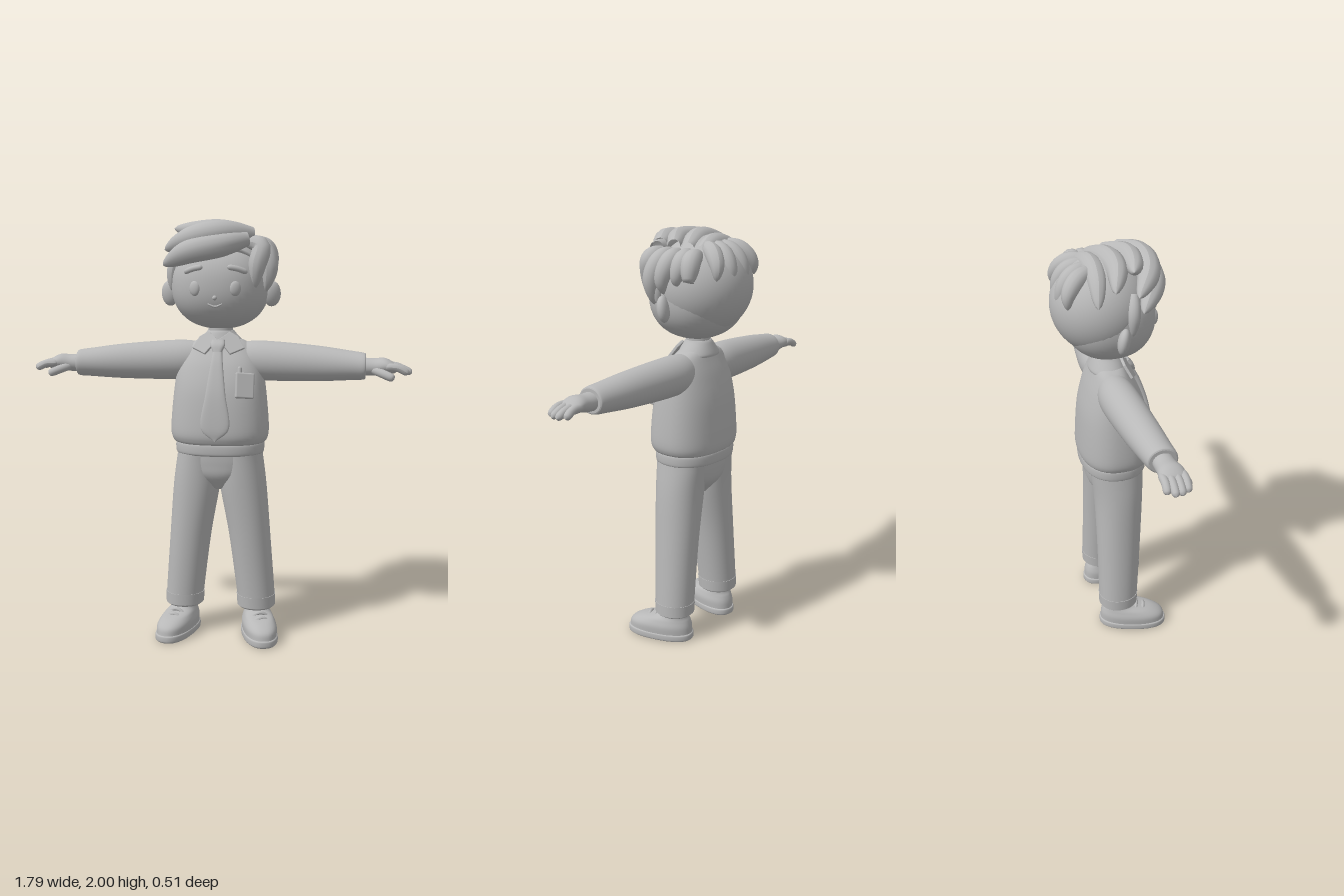
import * as THREE from 'three';
import { RoundedBoxGeometry } from 'three/addons/geometries/RoundedBoxGeometry.js';

const clay = new THREE.MeshStandardMaterial({ color: 0xb8b8b8, side: THREE.DoubleSide });
clay.name = 'plain grey';
const V = (p) => new THREE.Vector3(...p);

function add(parent, name, geometry, pos = [0, 0, 0], rot = [0, 0, 0]) {
  const mesh = new THREE.Mesh(geometry, clay);
  mesh.name = name;
  mesh.position.set(...pos);
  mesh.rotation.set(...rot);
  parent.add(mesh);
  return mesh;
}

// Stacks rounded sections [y, x, z, rx, rz], ordered upwards, and closes both ends
function loft(sections, { power = 2, steps = 6, sides = 40 } = {}) {
  const n = (sections.length - 1) * steps;
  const mid = new THREE.CatmullRomCurve3(sections.map(s => V([s[1], s[0], s[2]])), false, 'catmullrom');
  const size = new THREE.CatmullRomCurve3(sections.map(s => V([s[3], s[4], 0])), false, 'catmullrom');
  const rings = [];
  for (let i = 0; i <= n; i++) rings.push([mid.getPoint(i / n), size.getPoint(i / n), 1]);
  rings.unshift([rings[0][0], rings[0][1], 0], rings[0]);
  rings.push(rings[rings.length - 1], [rings[rings.length - 1][0], rings[rings.length - 1][1], 0]);
  const pos = [], index = [];
  const bend = (v) => Math.sign(v) * Math.abs(v) ** (2 / power);
  rings.forEach(([c, r, k], j) => {
    for (let i = 0; i < sides; i++) {
      const a = (i / sides) * Math.PI * 2;
      pos.push(c.x + bend(Math.sin(a)) * r.x * k, c.y, c.z + bend(Math.cos(a)) * r.y * k);
      if (!j) continue;
      const i2 = (i + 1) % sides, lo = (j - 1) * sides, hi = j * sides;
      index.push(lo + i, lo + i2, hi + i, lo + i2, hi + i2, hi + i);
    }
  });
  const g = new THREE.BufferGeometry();
  g.setAttribute('position', new THREE.Float32BufferAttribute(pos, 3));
  g.setIndex(index);
  g.computeVertexNormals();
  return g;
}

// Tube along points whose radius follows a rule of t
function strand(points, radius, rule = (t) => Math.sin(Math.PI * (0.12 + 0.88 * t)) ** 0.6) {
  const n = 20, m = 14;
  const curve = new THREE.CatmullRomCurve3(points.map(V));
  const g = new THREE.TubeGeometry(curve, n, radius, m);
  const p = g.attributes.position, v = new THREE.Vector3();
  for (let i = 0; i <= n; i++) {
    const c = curve.getPointAt(i / n), k = Math.max(rule(i / n), 0.001);
    for (let j = 0; j <= m; j++) {
      const id = i * (m + 1) + j;
      v.fromBufferAttribute(p, id).sub(c).multiplyScalar(k).add(c);
      p.setXYZ(id, v.x, v.y, v.z);
    }
  }
  g.computeVertexNormals();
  return g;
}
const capsule = (t) => Math.min(1, Math.sqrt(Math.max(0, 1 - (Math.abs(t - 0.5) * 2) ** 6)));

// Rounded head shape and the depth of the face at a point
const HEAD = { x: 0.23, y: 0.205, z: 0.21, p: 2.25, cy: 1.7 };
function headGeometry() {
  const g = new THREE.SphereGeometry(1, 48, 32), a = g.attributes.position, { p } = HEAD;
  for (let i = 0; i < a.count; i++) {
    const x = a.getX(i), y = a.getY(i), z = a.getZ(i);
    const k = (Math.abs(x) ** p + Math.abs(y) ** p + Math.abs(z) ** p) ** (-1 / p);
    a.setXYZ(i, x * k * HEAD.x, y * k * HEAD.y, z * k * HEAD.z);
  }
  g.computeVertexNormals();
  return g;
}
const face = (x, y, out = 0) => [x, y, out + HEAD.z *
  (1 - Math.abs(x / HEAD.x) ** HEAD.p - Math.abs((y - HEAD.cy) / HEAD.y) ** HEAD.p) ** (1 / HEAD.p)];

function buildHead(root) {
  const head = new THREE.Group();
  head.name = 'head';
  root.add(head);
  add(head, 'skull', headGeometry(), [0, HEAD.cy, 0]);
  add(head, 'neck', new THREE.CylinderGeometry(0.058, 0.058, 0.12, 32), [0, 1.48, 0]);
  for (const s of [-1, 1]) {
    add(head, 'ear', new THREE.SphereGeometry(1, 24, 16), [s * 0.242, 1.66, 0.01], [0.15, s * 0.35, 0])
      .scale.set(0.043, 0.06, 0.028);
    add(head, 'eye', new THREE.SphereGeometry(1, 24, 16), face(s * 0.093, 1.687, -0.004), [0, s * 0.35, 0])
      .scale.set(0.026, 0.034, 0.014);
    add(head, 'eyebrow', strand([face(s * 0.055, 1.783, 0.003), face(s * 0.1, 1.775, 0.003),
      face(s * 0.145, 1.758, 0.003)], 0.013, capsule));
  }
  add(head, 'nose', new THREE.SphereGeometry(0.011, 16, 12), face(0, 1.645));
  add(head, 'mouth', strand([face(-0.035, 1.618), face(0, 1.605), face(0.035, 1.618)], 0.005, capsule));

  // Hair cap, cut along a slope from forehead to nape
  const profile = [new THREE.Vector2(0, -0.06)];
  for (let i = 0; i <= 28; i++) {
    const a = 1.84 * (1 - i / 28);
    profile.push(new THREE.Vector2(Math.sin(a) * 0.225, Math.cos(a) * 0.225));
  }
  add(head, 'hairCap', new THREE.LatheGeometry(profile, 48), [0, 1.745, -0.032], [-0.873, 0, 0]).scale.x = 1.05;

  // Locks swept over the crown and forehead
  const swept = [
    [0.06, [0.14, 1.91, 0.13], [0.03, 1.885, 0.175], [-0.12, 1.853, 0.17], [-0.26, 1.79, 0.09]],
    [0.058, [0.16, 1.93, 0.09], [0.02, 1.935, 0.155], [-0.12, 1.91, 0.15], [-0.255, 1.86, 0.07]],
    [0.052, [0.15, 1.93, 0.02], [0.02, 1.945, 0.09], [-0.1, 1.948, 0.09], [-0.21, 1.958, 0.06]],
    [0.054, [0.14, 1.92, -0.05], [0, 1.945, 0.0], [-0.12, 1.935, 0.01], [-0.25, 1.89, -0.03]],
    [0.05, [0.12, 1.91, -0.11], [-0.02, 1.93, -0.08], [-0.13, 1.9, -0.08], [-0.235, 1.82, -0.1]],
  ];
  for (const [r, ...pts] of swept) add(head, 'sweptLock', strand(pts, r));
  // Locks falling down the model's left side: depth at the top, depth and height at the tip
  for (const [z, tipZ, tipY] of [[0.1, 0.135, 1.68], [0.05, 0.08, 1.67], [0, 0.02, 1.72], [-0.06, -0.06, 1.77], [-0.1, -0.13, 1.81]]) {
    const out = tipZ > 0.1 ? 0.185 : 0.235;
    add(head, 'sideLock', strand([[0.13, 1.9, z], [0.2, 1.875, z * 1.15], [out, 1.79, tipZ], [out - 0.015, tipY, tipZ]], 0.044));
  }
  for (const s of [-1, 1])
    add(head, 'sideburn', strand([[s * 0.18, 1.85, 0.07], [s * 0.215, 1.77, 0.06], [s * 0.222, 1.67, 0.055]], 0.03));
  // Short locks falling behind the crown
  for (const [x, tip] of [[-0.12, 1.79], [-0.04, 1.75], [0.04, 1.76], [0.12, 1.79]])
    add(head, 'backLock', strand([[x * 0.5, 1.93, -0.08], [x * 0.85, 1.905, -0.16], [x * 1.1, 1.85, -0.205],
      [x * 1.2, tip, -0.235 + Math.abs(x) * 0.2]], 0.04));
}

function buildTorso(root) {
  add(root, 'sweater', loft([[0.955, 0, 0.02, 0.2, 0.148], [0.972, 0, 0.022, 0.224, 0.164],
    [1.03, 0, 0.025, 0.234, 0.171], [1.2, 0, 0.022, 0.22, 0.157], [1.32, 0, 0.015, 0.2, 0.125],
    [1.4, 0, 0.004, 0.165, 0.088], [1.44, 0, 0, 0.115, 0.068], [1.455, 0, 0, 0.06, 0.05]], { power: 2.35 }));
  add(root, 'waistband', loft([[0.905, 0, 0.02, 0.2, 0.145], [0.915, 0, 0.02, 0.211, 0.156],
    [0.955, 0, 0.02, 0.212, 0.157], [0.968, 0, 0.02, 0.202, 0.147]], { power: 2.3 }));
  add(root, 'collar', loft([[1.415, 0, -0.002, 0.115, 0.085], [1.43, 0, -0.002, 0.113, 0.085],
    [1.475, 0, -0.002, 0.072, 0.068], [1.488, 0, -0.002, 0.062, 0.06]]));
  for (const s of [-1, 1]) {
    const flap = new THREE.Shape([[0.005, -0.045], [0.05, 0], [0.09, -0.02], [0.12, -0.075], [0.06, -0.112]]
      .map(([x, y]) => new THREE.Vector2(s * x, y)));
    add(root, 'collarFlap', new THREE.ExtrudeGeometry(flap,
      { depth: 0.008, bevelSize: 0.003, bevelThickness: 0.003, bevelSegments: 2 }), [0, 1.482, 0.058], [-0.6, s * 0.2, 0]);
  }
  add(root, 'tie', loft([[0.985, 0, 0.203, 0.003, 0.008], [1.05, 0, 0.203, 0.067, 0.013], [1.2, 0, 0.186, 0.047, 0.013],
    [1.33, 0, 0.146, 0.03, 0.013], [1.41, 0, 0.105, 0.02, 0.013]], { power: 3 }));
  add(root, 'tieKnot', loft([[1.395, 0, 0.115, 0.022, 0.018], [1.425, 0, 0.1, 0.034, 0.022],
    [1.45, 0, 0.085, 0.03, 0.015]], { power: 3 }));
  add(root, 'pocket', new RoundedBoxGeometry(0.09, 0.12, 0.03, 3, 0.008), [0.13, 1.24, 0.143], [-0.25, 0.38, 0]);
  add(root, 'pen', new THREE.CapsuleGeometry(0.01, 0.05, 6, 12), [0.107, 1.295, 0.141], [-0.25, 0, 0]);
}

// One arm along +x
function buildArm(side) {
  const lay = [0, 0, -Math.PI / 2];
  add(side, 'sleeve', loft([[0.08, -1.35, 0, 0.08, 0.07], [0.2, -1.346, 0.004, 0.094, 0.088], [0.45, -1.338, 0.025, 0.084, 0.082],
    [0.62, -1.332, 0.043, 0.068, 0.072], [0.675, -1.33, 0.05, 0.062, 0.068], [0.685, -1.33, 0.05, 0.054, 0.06]]), [0, 0, 0], lay);
  add(side, 'hand', loft([[0.66, -1.328, 0.05, 0.042, 0.046], [0.72, -1.328, 0.052, 0.04, 0.048],
    [0.77, -1.334, 0.055, 0.036, 0.056], [0.81, -1.325, 0.055, 0.026, 0.054], [0.83, -1.32, 0.055, 0.01, 0.04]]), [0, 0, 0], lay);
  [0.875, 0.897, 0.895, 0.88].forEach((tip, i) => {
    const z = 0.012 + i * 0.029;
    add(side, 'finger', strand([[0.77, 1.332, z], [0.83, 1.328, z], [tip, 1.302, z - 0.003]], 0.018, capsule));
  });
  add(side, 'thumb', strand([[0.71, 1.32, 0.075], [0.765, 1.3, 0.108], [0.815, 1.28, 0.125]], 0.02, capsule));
}

// One leg and shoe on the +x side
function buildLeg(side) {
  add(side, 'trouserLeg', loft([[0.135, 0.178, 0.01, 0.082, 0.086], [0.148, 0.178, 0.01, 0.091, 0.096], [0.2, 0.176, 0.011, 0.092, 0.097],
    [0.5, 0.145, 0.02, 0.1, 0.107], [0.75, 0.113, 0.025, 0.112, 0.117], [0.91, 0.1, 0.02, 0.104, 0.128]], { power: 2.1 }));
  add(side, 'trouserCuff', loft([[0.145, 0.178, 0.01, 0.093, 0.097], [0.2, 0.176, 0.011, 0.0945, 0.0995]], { power: 2.1 }));
  const shoe = new THREE.Group();
  shoe.name = 'shoe';
  shoe.position.x = 0.178;
  shoe.rotation.y = 0.27;
  side.add(shoe);
  add(shoe, 'sole', loft([[0, 0, 0.085, 0.076, 0.163], [0.008, 0, 0.085, 0.083, 0.17], [0.03, 0, 0.085, 0.083, 0.17],
    [0.036, 0, 0.085, 0.078, 0.165]], { power: 2.4 }));
  add(shoe, 'shoeUpper', loft([[0.03, 0, 0.085, 0.079, 0.165], [0.07, 0, 0.08, 0.08, 0.158], [0.1, 0, 0.058, 0.07, 0.128],
    [0.122, 0, 0.02, 0.06, 0.08], [0.15, 0, 0.005, 0.056, 0.062]], { power: 2.3 }));
  for (const [y, z] of [[0.113, 0.14], [0.126, 0.105]])
    add(shoe, 'lace', strand([[-0.045, y - 0.022, z - 0.005], [0, y, z], [0.045, y - 0.022, z - 0.005]], 0.009, capsule));
}

export function createModel() {
  const root = new THREE.Group();
  root.name = 'figure';
  buildHead(root);
  buildTorso(root);
  add(root, 'trouserSeat', loft([[0.735, 0, 0.025, 0.03, 0.07], [0.8, 0, 0.022, 0.15, 0.118],
    [0.86, 0, 0.02, 0.2, 0.13], [0.92, 0, 0.02, 0.205, 0.133]], { power: 2.2 }));
  for (const s of [1, -1]) {
    const side = new THREE.Group();
    side.name = s > 0 ? 'leftLimbs' : 'rightLimbs';
    side.scale.x = s;
    buildArm(side);
    buildLeg(side);
    root.add(side);
  }
  return root;
}
